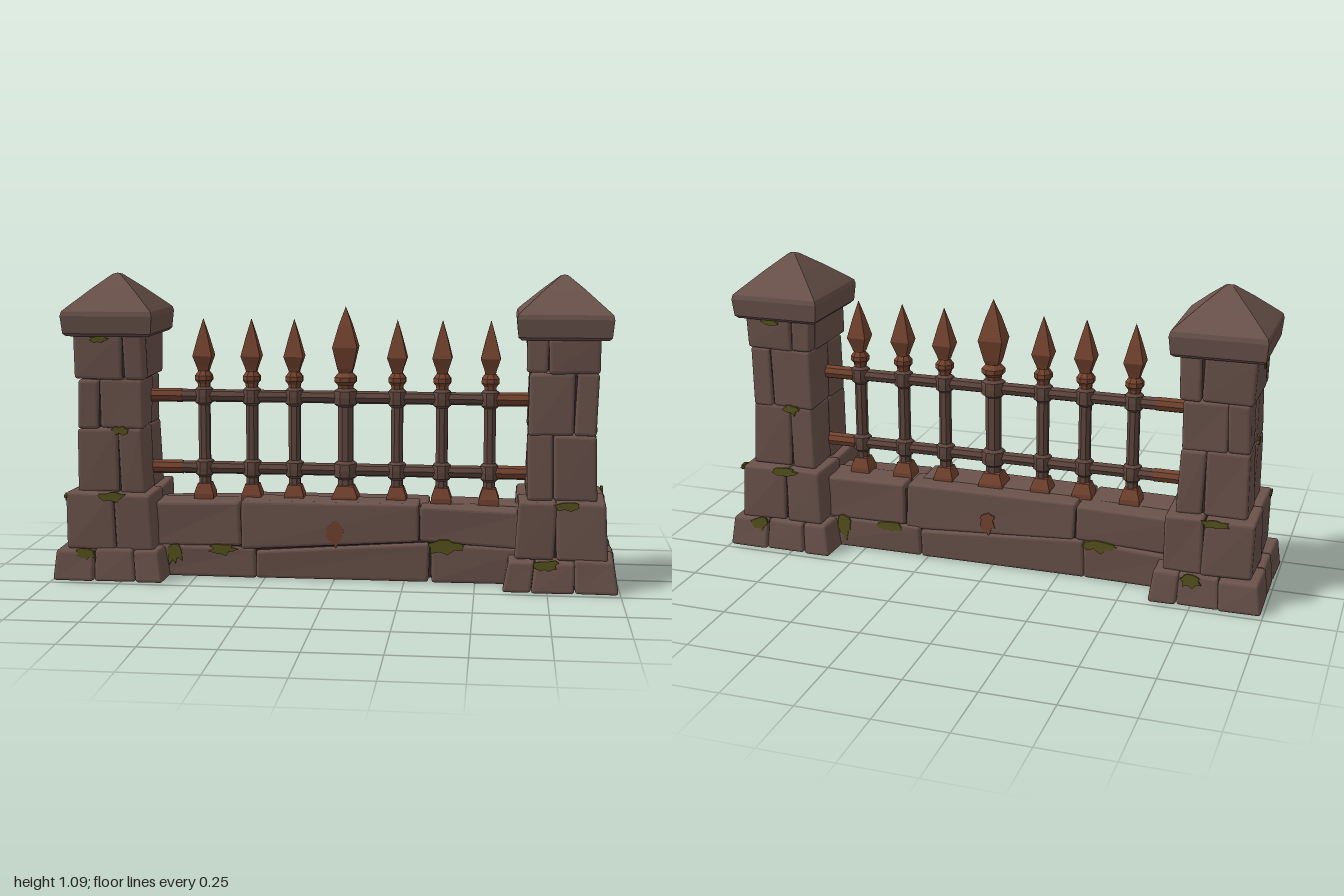
import * as THREE from 'three';
import { RoundedBoxGeometry } from 'three/addons/geometries/RoundedBoxGeometry.js';

const mat = (name, color) => {
  const m = new THREE.MeshStandardMaterial({ color });
  m.name = name;
  return m;
};

let seed = 7;
const rnd = () => {
  seed = (seed * 16807) % 2147483647;
  return seed / 2147483647;
};
const jit = (a) => (rnd() - 0.5) * 2 * a;

export function createModel() {
  const root = new THREE.Group();
  root.name = 'graveyardFence';
  const stone = mat('stone', 0x6a524b);
  const seam = mat('seam', 0x35292a);
  const iron = mat('iron', 0x5f463e);
  const rust = mat('rust', 0x74432f);
  const moss = mat('moss', 0x57511c);

  const add = (parent, name, geo, material, x = 0, y = 0, z = 0) => {
    const m = new THREE.Mesh(geo, material);
    m.name = name;
    m.position.set(x, y, z);
    parent.add(m);
    return m;
  };

  // Facet a geometry after moving its vertices by a rule
  const facet = (geo, rule) => {
    const g = geo.index ? geo.toNonIndexed() : geo;
    const p = g.attributes.position;
    const v = new THREE.Vector3();
    for (let i = 0; rule && i < p.count; i++) {
      v.fromBufferAttribute(p, i);
      rule(v);
      p.setXYZ(i, v.x, v.y, v.z);
    }
    g.computeVertexNormals();
    return g;
  };

  // Worn stone block between two corners, softly bevelled and uneven
  const block = (parent, name, [x0, x1], [y0, y1], [z0, z1], rule) => {
    const r = 0.011;
    const g = new RoundedBoxGeometry(x1 - x0, y1 - y0, z1 - z0, 2, r);
    g.translate((x0 + x1) / 2, (y0 + y1) / 2, (z0 + z1) / 2);
    const a = jit(3), b = jit(3);
    add(parent, name, facet(g, (v) => {
      if (rule) rule(v, (v.y - y0) / (y1 - y0));
      const { x, y, z } = v;
      v.x += 0.004 * Math.sin(11 * y + 9 * z + a);
      v.z += 0.004 * Math.sin(13 * y + 8 * x + b);
      if (y > 0.03) v.y += 0.003 * Math.sin(10 * x + 12 * z + a + b);
    }), stone);
  };

  // Square-section turned profile: rows of [half width, height]
  const turned = (pts, sides = 4) => {
    const k = 1 / Math.cos(Math.PI / sides);
    const g = new THREE.LatheGeometry(pts.map(([r, y]) => new THREE.Vector2(r * k, y)),
      sides, Math.PI / sides);
    return facet(g);
  };

  // Ragged thin patch of moss or rust, hanging down at its lower edge
  const patch = (parent, name, material, x, y, z, w, h, turn = 0) => {
    const s = new THREE.Shape();
    const n = 14;
    for (let i = 0; i < n; i++) {
      const t = (i / n) * Math.PI * 2;
      const r = 0.65 + rnd() * 0.55;
      const px = Math.cos(t) * r * w / 2;
      const py = Math.sin(t) * r * h / 2 * (Math.sin(t) < 0 && i % 2 ? 1.3 : 0.8);
      if (i) s.lineTo(px, py); else s.moveTo(px, py);
    }
    s.closePath();
    const g = new THREE.ExtrudeGeometry(s, { depth: 0.008, bevelEnabled: false });
    add(parent, name, g, material, x, y, z).rotation.y = turn;
  };

  // Pillar tiers: [y0, y1, half x, half z, x cuts, z cuts, top scale]
  const pillar = (name, x, turn, step) => {
    const p = new THREE.Group();
    p.name = name;
    p.position.x = x;
    p.rotation.y = turn;
    root.add(p);
    const tiers = [
      ['plinth', 0, 0.112, 0.2, 0.228, [-0.05, 0.1], [-0.055, 0.07], 0.925],
      ['base', 0.108, 0.312, 0.158, 0.195, [0.02], [0.005], 0.98],
      ['lowerShaft', 0.308, 0.54, 0.122, 0.15, [0.03], [0], 0.98],
      ['upperShaft', 0.538, step, 0.118, 0.143, [-0.04], [-0.015], 1],
      ['neck', step - 0.002, 0.875, 0.125, 0.149, [0.05], [0.09], 1.02],
    ];
    for (const [part, y0, y1, hx, hz, xc, zc, top] of tiers) {
      const xs = [-hx, ...xc, hx];
      const zs = [-hz, ...zc, hz];
      const taper = (v, t) => {
        const k = 1 + (top - 1) * t;
        v.x *= k;
        v.z *= k;
      };
      for (let i = 0; i < xs.length - 1; i++) {
        for (let j = 0; j < zs.length - 1; j++) {
          block(p, part + 'Block', [xs[i] + 0.001, xs[i + 1] - 0.001], [y0, y1 + jit(0.003)],
            [zs[j] + 0.001, zs[j + 1] - 0.001], taper);
        }
      }
      // Dark core seen through the joints
      const k = Math.min(1, top);
      add(p, part + 'Core', new THREE.BoxGeometry(hx * 2 * k - 0.022, y1 - y0 - 0.02, hz * 2 * k - 0.022),
        seam, 0, (y0 + y1) / 2, 0);
    }
    // Pyramid cap with a thick rim
    const cap = add(p, 'cap', turned([[0, 0.868], [0.148, 0.868], [0.158, 0.878], [0.164, 0.94],
      [0.16, 0.956], [0.145, 0.97], [0.075, 1.032], [0.014, 1.082], [0, 1.086]]), stone);
    cap.scale.z = 1.1;

    // Moss on the joints, front face then outer face
    patch(p, 'moss', moss, -0.08, 0.1, 0.211, 0.07, 0.05);
    patch(p, 'moss', moss, 0.02, 0.305, 0.19, 0.1, 0.035);
    patch(p, 'moss', moss, 0.04, 0.535, 0.146, 0.07, 0.035);
    patch(p, 'moss', moss, -0.03, 0.86, 0.15, 0.07, 0.03);
    patch(p, 'moss', moss, -0.117, 0.54, 0.03, 0.06, 0.025, -Math.PI / 2);
    patch(p, 'moss', moss, -0.123, 0.825, 0.03, 0.025, 0.04, -Math.PI / 2);
    patch(p, 'moss', moss, -0.152, 0.3, 0.17, 0.05, 0.025, -Math.PI / 2);
    patch(p, 'moss', moss, 0.05, 0.1, -0.219, 0.08, 0.05, Math.PI);
    patch(p, 'moss', moss, -0.02, 0.305, -0.19, 0.1, 0.035, Math.PI);
  };
  pillar('rightPillar', -0.797, 0, 0.715);
  pillar('leftPillar', 0.797, Math.PI, 0.755);

  // Low wall: the front half, then the same half turned round for the back
  for (const turn of [0, Math.PI]) {
    const w = new THREE.Group();
    w.name = turn ? 'backWall' : 'frontWall';
    w.rotation.y = turn;
    root.add(w);
    const shear = (mid, low, high) => (v, t) => {
      v.y += (v.x - mid) * (low * (1 - t) + high * t);
    };
    const top = [-0.03, 0.107];
    const bottom = [-0.03, 0.112];
    block(w, 'topBlock', [-0.68, -0.337], [0.112, 0.272], top);
    block(w, 'topBlock', [-0.334, 0.304], [0.122, 0.278], top, shear(0, 0.065, 0));
    block(w, 'topBlock', [0.307, 0.68], [0.137, 0.268], top, shear(0.48, -0.05, -0.03));
    block(w, 'bottomBlock', [-0.68, -0.282], [0, 0.113], bottom);
    block(w, 'bottomSlab', [-0.279, 0.34], [0, 0.122], bottom, shear(0.03, 0, 0.07));
    block(w, 'bottomBlock', [0.343, 0.68], [0, 0.135], bottom, shear(0.5, 0, -0.05));
    add(w, 'wallCore', new THREE.BoxGeometry(1.3, 0.235, 0.095), seam, 0, 0.133, 0.046);
    patch(w, 'moss', moss, -0.58, 0.09, 0.109, 0.06, 0.1);
    patch(w, 'moss', moss, -0.4, 0.105, 0.109, 0.1, 0.045);
    patch(w, 'moss', moss, 0.39, 0.135, 0.109, 0.13, 0.05);
    patch(w, 'rustStain', rust, turn ? -0.02 : 0, 0.175, 0.103, 0.06, 0.09);
  }

  // Two rails with rusted ends
  const railing = new THREE.Group();
  railing.name = 'railing';
  root.add(railing);
  const rod = (r, len) => facet(new THREE.CylinderGeometry(r, r, len, 8).rotateZ(Math.PI / 2));
  for (const y of [0.382, 0.645]) {
    add(railing, 'rail', rod(0.023, 1.36), iron, 0, y, 0);
    for (const s of [-1, 1]) add(railing, 'rustedRailEnd', rod(0.025, 0.12), rust, s * 0.625, y, 0);
  }

  // Pickets: foot, shaft, collars and spear point
  const picket = (x, k, rise) => {
    const p = new THREE.Group();
    p.name = 'picket';
    p.position.x = x;
    railing.add(p);
    const scaled = (pts) => pts.map(([r, y]) => [r * k, y]);
    add(p, 'foot', turned(scaled([[0, 0.262], [0.036, 0.262], [0.036, 0.288], [0.024, 0.325], [0, 0.335]])), rust);
    add(p, 'shaft', turned(scaled([[0.021, 0.3], [0.021, 0.7]]), 8), iron);
    for (const y of [0.382, 0.645]) {
      add(p, 'collar', turned(scaled([[0.02, y - 0.034], [0.031, y - 0.024], [0.033, y],
        [0.031, y + 0.024], [0.02, y + 0.034]]), 8), iron);
    }
    add(p, 'knuckle', turned(scaled([[0.02, 0.67], [0.022, 0.69], [0.031, 0.702], [0.031, 0.718],
      [0.019, 0.735], [0.019, 0.75]]), 8), rust);
    add(p, 'spearPoint', turned(scaled([[0, 0.73], [0.018, 0.735], [0.022, 0.75],
      [0.035, 0.79 + rise * 0.8], [0.018, 0.86 + rise], [0, 0.925 + rise]])), rust);
  };
  for (const x of [-0.485, -0.31, -0.155, 0.215, 0.375, 0.545]) picket(x, 1, 0);
  picket(0.03, 1.27, 0.045);

  return root;
}
